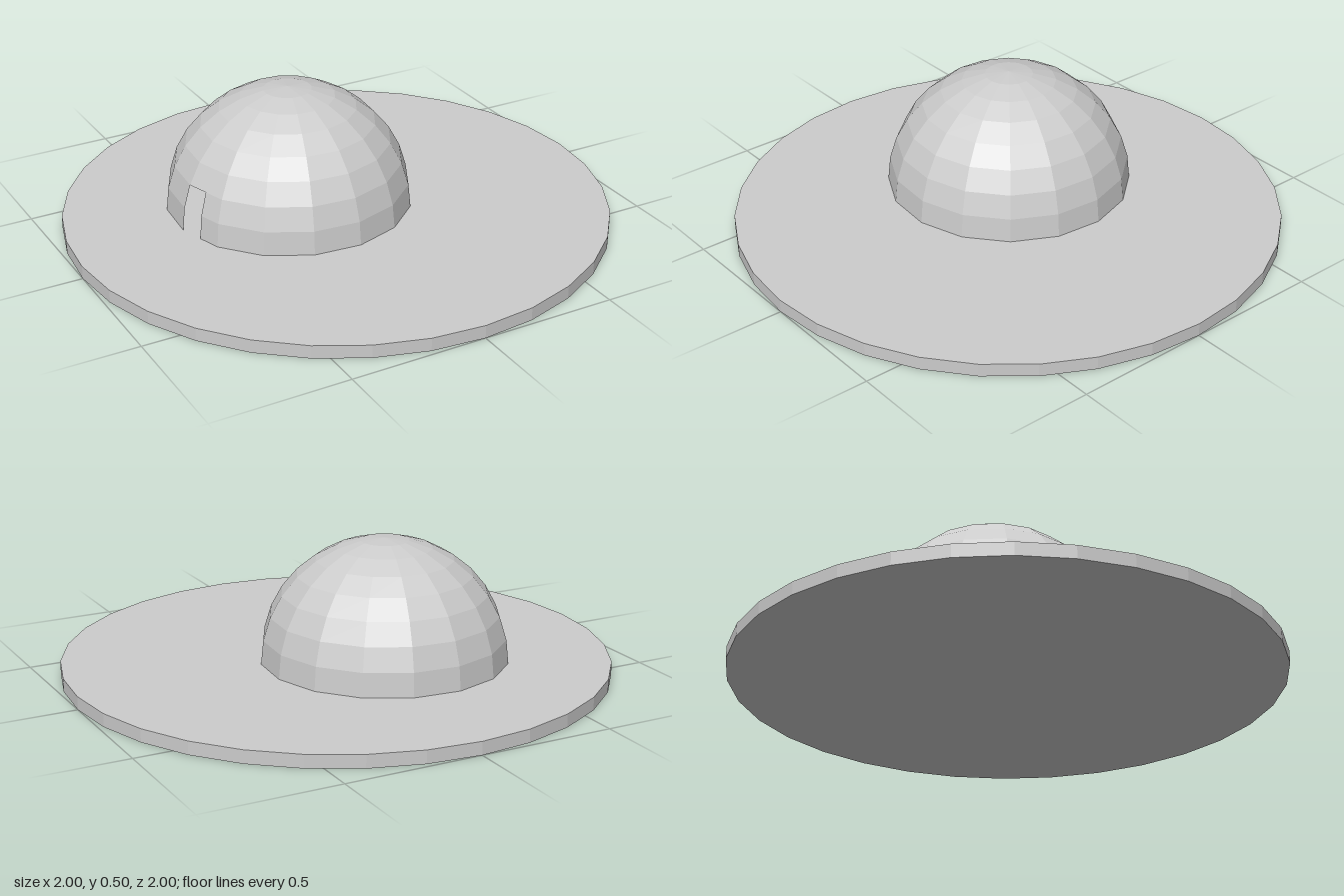
import * as THREE from 'three';

const SIDES = 16, RINGS = 8;            // facets of the half dome
const RADIUS = 0.453, HEIGHT = 0.447;
const PHASE = THREE.MathUtils.degToRad(-6.3);
const DOOR_SIDE = 7, DOOR_RINGS = 2;    // facet column and rings cut by the doorway
const BASE_HEIGHT = 0.048;

// Point on the dome; side turns from +x towards +z, ring climbs to the top
function domePoint(side, ring) {
  const a = PHASE + (side / SIDES) * Math.PI * 2;
  const e = (ring / RINGS) * Math.PI / 2;
  const r = RADIUS * Math.cos(e);
  return new THREE.Vector3(r * Math.cos(a), HEIGHT * Math.sin(e), r * Math.sin(a));
}

// Hollow faceted dome; the doorway leaves only half of its facet standing
function domeGeometry() {
  const points = [];
  for (let ring = 0; ring < RINGS; ring++) {
    for (let side = 0; side < SIDES; side++) {
      const a = domePoint(side, ring), b = domePoint(side, ring + 1);
      const c = domePoint(side + 1, ring + 1), d = domePoint(side + 1, ring);
      if (side === DOOR_SIDE && ring < DOOR_RINGS) {
        c.lerp(b, 0.5);
        d.lerp(a, 0.5);
      }
      points.push(a, b, d);
      if (ring < RINGS - 1) points.push(b, c, d);
    }
  }
  const geometry = new THREE.BufferGeometry().setFromPoints(points);
  geometry.computeVertexNormals();
  return geometry;
}

export function createModel() {
  const model = new THREE.Group();
  model.name = 'domeOnDisc';

  // Flat round ground plate
  const base = new THREE.Mesh(
    new THREE.CylinderGeometry(1, 1, BASE_HEIGHT, 32),
    new THREE.MeshStandardMaterial({ color: 0xcccccc, flatShading: true })
  );
  base.name = 'groundDisc';
  base.position.y = BASE_HEIGHT / 2;

  // Open shell with a doorway on its right side
  const dome = new THREE.Mesh(
    domeGeometry(),
    new THREE.MeshStandardMaterial({ color: 0xcccccc, flatShading: true, side: THREE.DoubleSide })
  );
  dome.name = 'domeShell';
  dome.position.set(-0.136, BASE_HEIGHT, -0.116);

  model.add(base, dome);
  return model;
}
